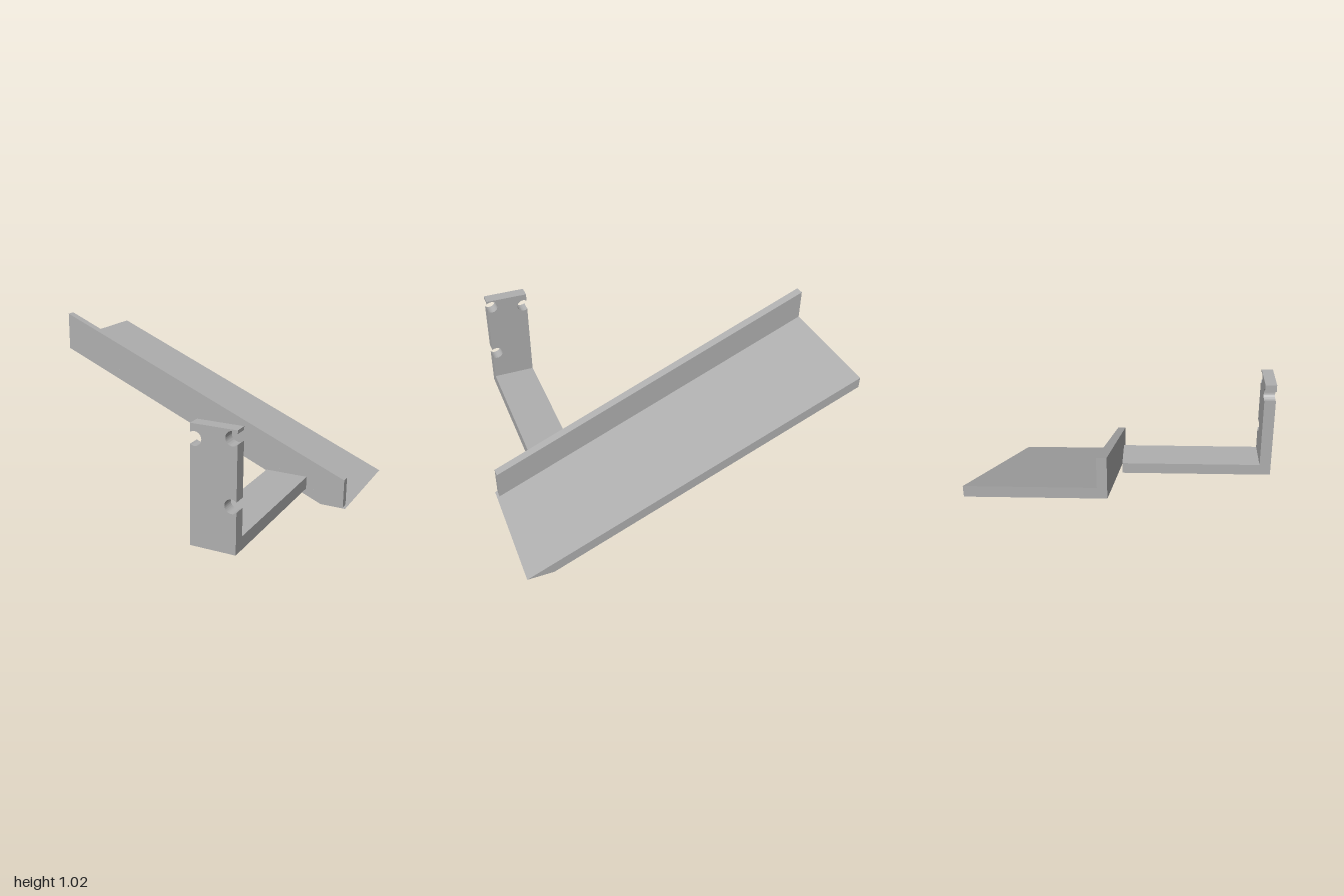
import * as THREE from 'three';
import { toCreasedNormals } from 'three/addons/utils/BufferGeometryUtils.js';

const grey = new THREE.MeshStandardMaterial({ color: 0xb0b0b0 });
grey.name = 'plain grey';

// Extrudes a front-facing outline between two depths.
function slab(name, shape, zBack, zFront) {
  const geometry = new THREE.ExtrudeGeometry(shape, {
    depth: zFront - zBack, bevelEnabled: false, curveSegments: 32,
  });
  geometry.translate(0, 0, zBack);
  const mesh = new THREE.Mesh(toCreasedNormals(geometry, 0.6), grey);
  mesh.name = name;
  return mesh;
}

const polygon = (points) => new THREE.Shape(points.map(([x, y]) => new THREE.Vector2(x, y)));

// Upright mounting plate with round screw notches cut into its side edges.
function notchedOutline(left, right, bottom, top) {
  const r = 0.04;
  const rightX = 0.717, leftX = 0.5025;
  const a = Math.acos((right - rightX) / r);
  const b = Math.acos((leftX - left) / r);
  const shape = new THREE.Shape();
  shape.moveTo(left, bottom);
  shape.lineTo(right, bottom);
  for (const y of [0.353, 0.72]) shape.absarc(rightX, y, r, -a, a, true);
  shape.lineTo(right, top);
  shape.lineTo(left, top);
  shape.absarc(leftX, 0.687, r, Math.PI - b, -Math.PI + b, true);
  return shape;
}

export function createModel() {
  const model = new THREE.Group();
  model.name = 'slopedShelfBracket';

  // Sloping shelf, cut flat at its low end
  model.add(slab('slopedShelf',
    polygon([[-1, 0.787], [0.843, 0], [1, 0], [-1, 0.85]]), -0.885, -0.147));

  // Raised lip along the shelf's front edge
  model.add(slab('frontLip',
    polygon([[-1, 0.85], [0.985, 0.0064], [0.985, 0.183], [-1, 1.025]]), -0.2, -0.147));

  // Arm reaching forward from the lip
  const [left, right, bottom, top] = [0.478, 0.745, 0.085, 0.768];
  model.add(slab('supportArm',
    polygon([[left, bottom], [right, bottom], [right, 0.162], [left, 0.162]]), -0.147, 0.808));

  // Mounting plate at the end of the arm
  model.add(slab('mountingPlate', notchedOutline(left, right, bottom, top), 0.808, 0.885));

  return model;
}
